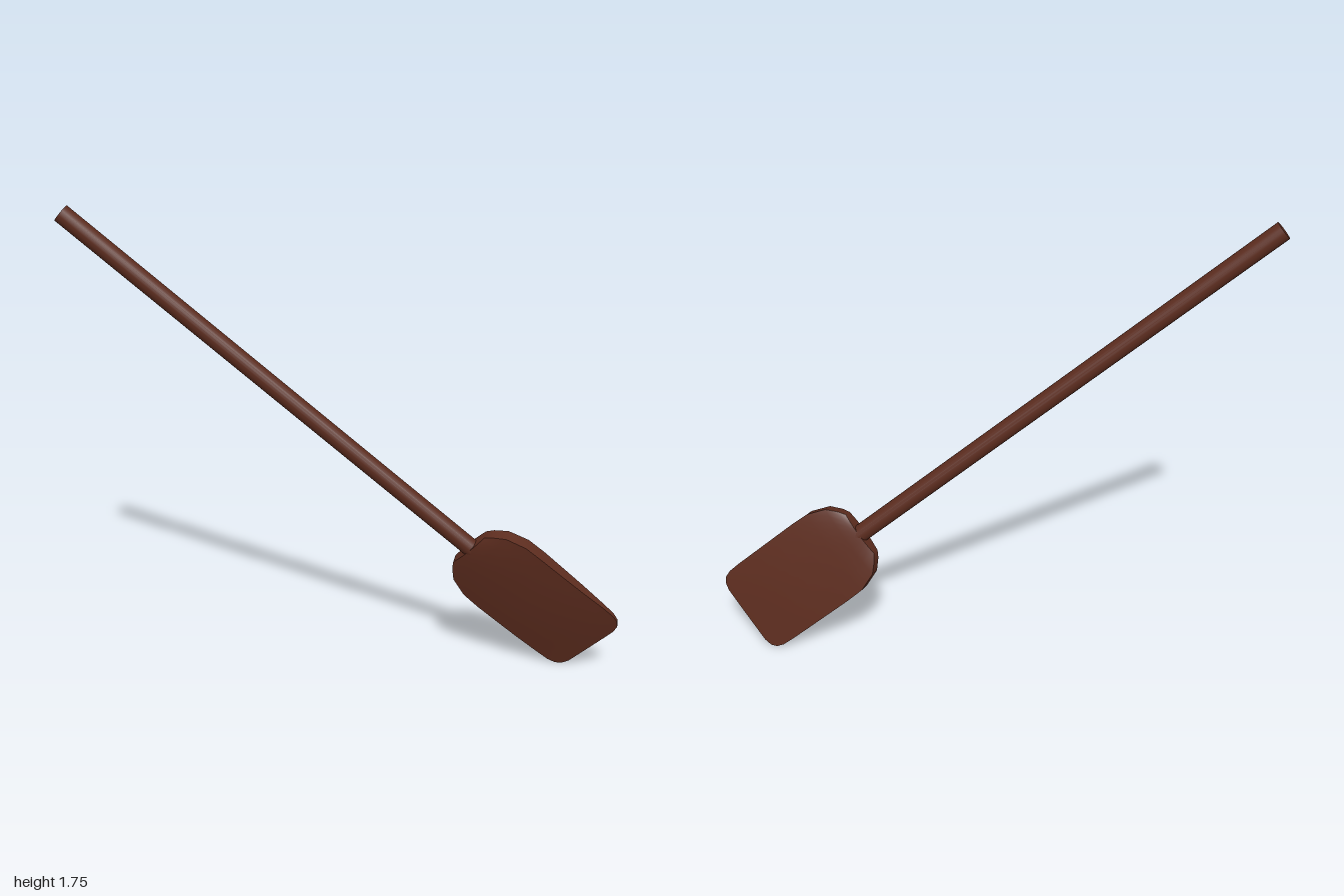
import * as THREE from 'three';
import { toCreasedNormals } from 'three/addons/utils/BufferGeometryUtils.js';

// Blade sections: distance from the handle end, half width, half thickness at edge and at centre
const SECTIONS = [
  [1.895, 0.09, 0.02, 0.032],
  [1.912, 0.115, 0.023, 0.034],
  [1.95, 0.152, 0.025, 0.036],
  [2.025, 0.178, 0.026, 0.036],
  [2.1, 0.181, 0.026, 0.034],
  [2.2, 0.181, 0.023, 0.031],
  [2.3, 0.181, 0.019, 0.026],
  [2.4, 0.181, 0.012, 0.018],
  [2.455, 0.179, 0.009, 0.012],
  [2.485, 0.17, 0.007, 0.009],
  [2.503, 0.152, 0.006, 0.007],
  [2.512, 0.122, 0.005, 0.006],
];

// Lofts the blade: a gently domed front and back joined by a flat rim
function bladeGeometry() {
  const cols = 10, ring = 2 * (cols + 1), pos = [], idx = [];
  for (const [t, w, edge, mid] of SECTIONS) {
    for (const side of [1, -1]) {
      for (let j = 0; j <= cols; j++) {
        const u = side * (-1 + (2 * j) / cols);
        pos.push(u * w, -t, side * (edge + (mid - edge) * (1 - u * u)));
      }
    }
  }
  for (let i = 0; i < SECTIONS.length - 1; i++) {
    for (let j = 0; j < ring; j++) {
      const a = i * ring + j, b = i * ring + ((j + 1) % ring);
      idx.push(a, a + ring, b, b, a + ring, b + ring);
    }
  }
  // end caps
  const last = (SECTIONS.length - 1) * ring;
  for (let j = 1; j < ring - 1; j++) {
    idx.push(0, j, j + 1, last, last + j + 1, last + j);
  }
  const geo = new THREE.BufferGeometry();
  geo.setAttribute('position', new THREE.Float32BufferAttribute(pos, 3));
  geo.setIndex(idx);
  return toCreasedNormals(geo, 0.7);
}

export function createModel() {
  const model = new THREE.Group();
  model.name = 'paddle';
  const wood = new THREE.MeshStandardMaterial({ color: 0x5c2c1e });

  // Long round handle
  const length = 1.96;
  const handle = new THREE.Mesh(new THREE.CylinderGeometry(0.034, 0.034, length, 20), wood);
  handle.name = 'handle';
  handle.position.y = -length / 2;

  // Flat blade tapering to a thin tip
  const blade = new THREE.Mesh(bladeGeometry(), wood);
  blade.name = 'blade';

  // Lean the whole tool along its axis
  const up = new THREE.Vector3(-0.749, 0.645, 0.149).normalize();
  const across = new THREE.Vector3(0.658, 0.721, 0.219);
  across.addScaledVector(up, -across.dot(up)).normalize();
  const front = new THREE.Vector3().crossVectors(across, up);
  const tool = new THREE.Group();
  tool.name = 'tool';
  tool.quaternion.setFromRotationMatrix(new THREE.Matrix4().makeBasis(across, up, front));
  tool.position.set(-0.978, 1.73, 0.19);
  tool.add(handle, blade);
  model.add(tool);
  return model;
}
